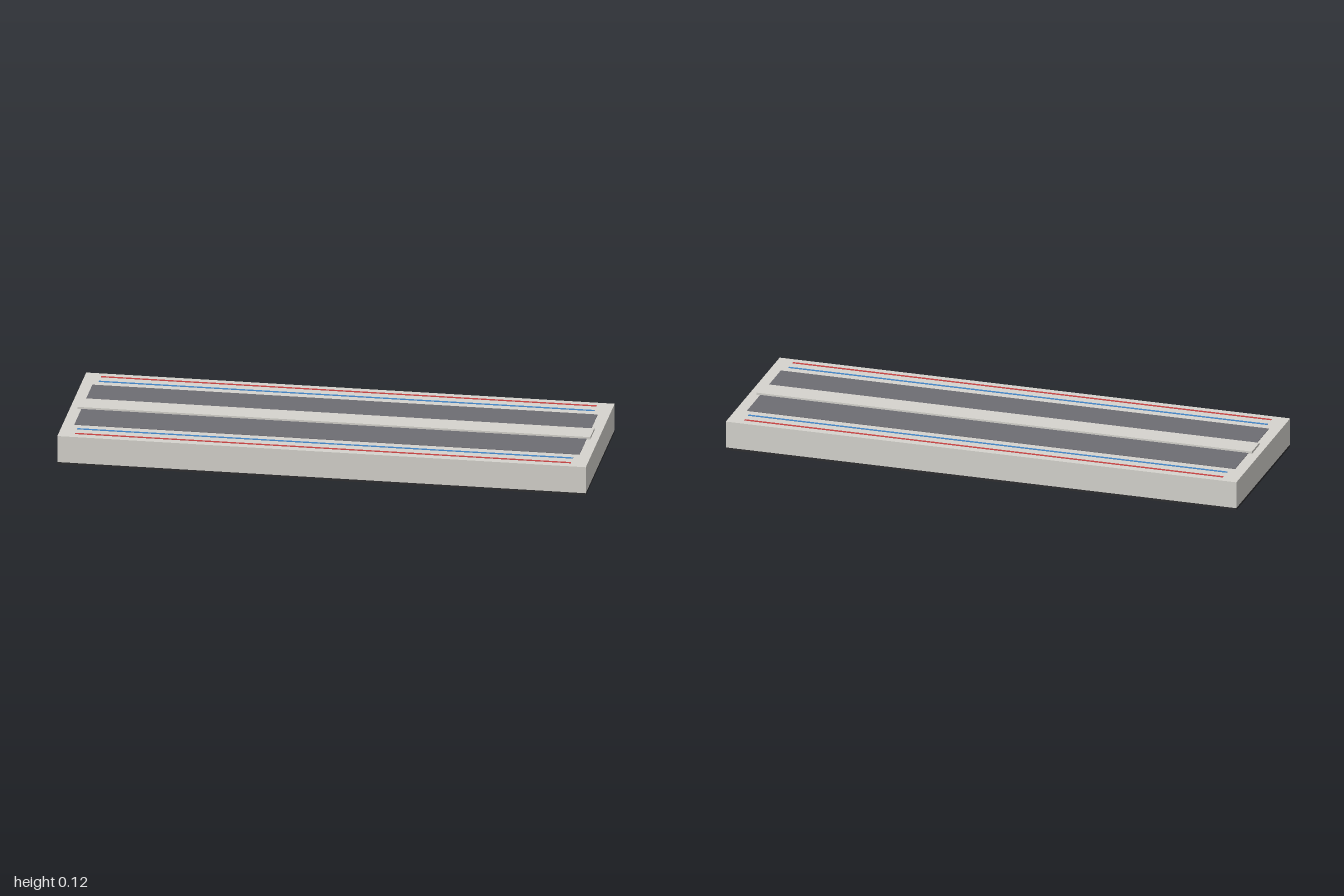
import * as THREE from 'three';

const paint = (color) => new THREE.MeshStandardMaterial({ color });

export function createModel() {
  const group = new THREE.Group();
  const shell = paint(0xd6d4ce);
  const dark = paint(0x6e6d73);
  const backing = paint(0x2e2e30);
  const red = paint(0xcc4444);
  const blue = paint(0x4488cc);

  // Box given by its width, depth, bottom, top and z centre
  const slab = (name, material, width, depth, y0, y1, z = 0) => {
    const mesh = new THREE.Mesh(new THREE.BoxGeometry(width, y1 - y0, depth), material);
    mesh.position.set(0, (y0 + y1) / 2, z);
    mesh.name = name;
    group.add(mesh);
  };

  // Backing sheet, main block and raised centre divider
  slab('backingSheet', backing, 2, 0.667, 0, 0.009);
  slab('boardBody', shell, 2, 0.667, 0.009, 0.113);
  slab('centreDivider', shell, 1.94, 0.092, 0.113, 0.122);

  // Dark contact fields and coloured rail lines, mirrored front and back
  for (const [side, s] of [['front', 1], ['back', -1]]) {
    slab(side + 'ContactField', dark, 1.912, 0.17, 0.112, 0.1148, s * 0.124);
    slab(side + 'BlueRail', blue, 1.876, 0.009, 0.112, 0.1148, s * 0.249);
    slab(side + 'RedRail', red, 1.876, 0.009, 0.112, 0.1148, s * 0.298);
  }
  return group;
}
